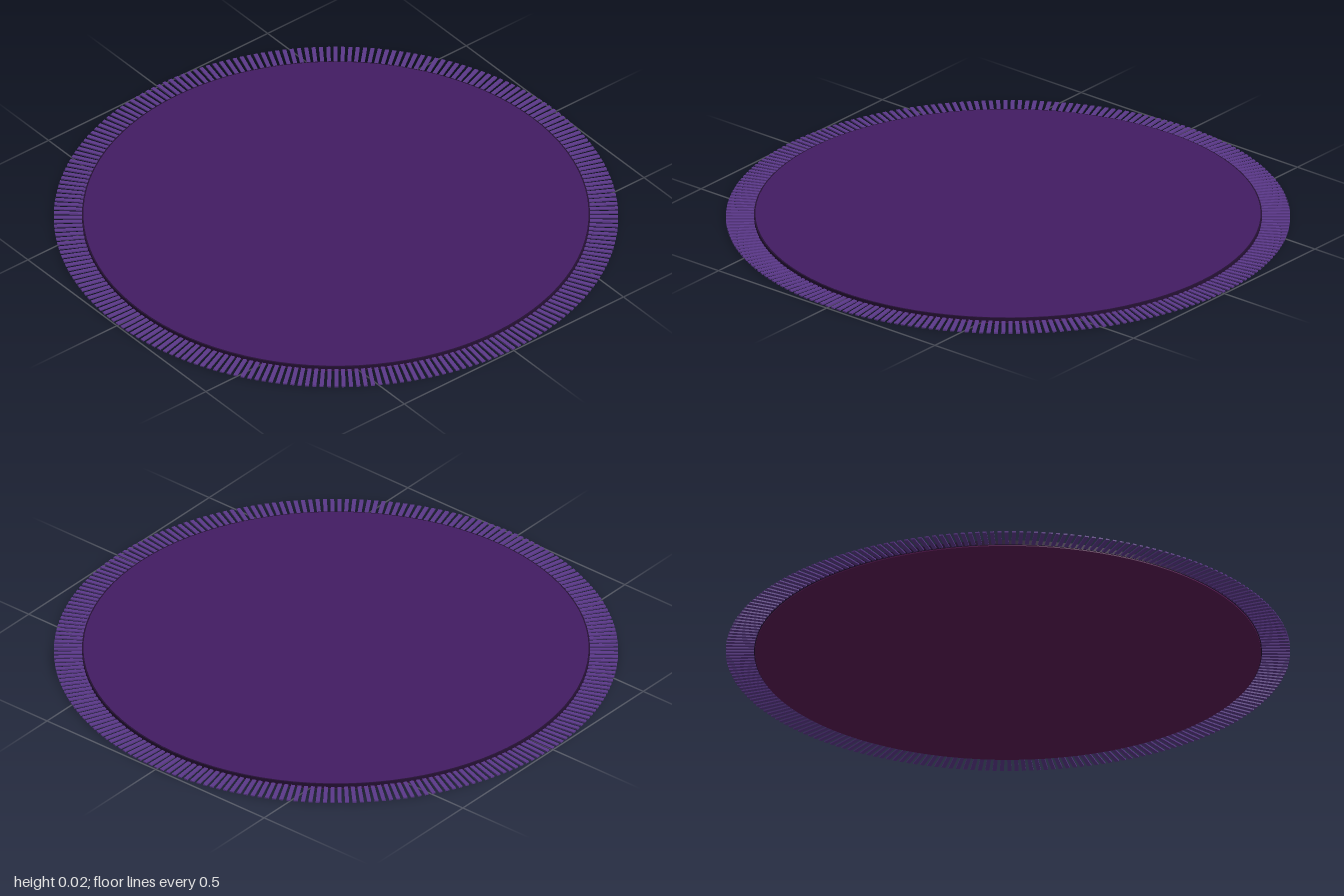
import * as THREE from 'three';

const mat = (color) => new THREE.MeshStandardMaterial({ color });

export function createModel() {
  const rug = new THREE.Group();
  rug.name = 'roundRug';

  const disc = (name, radius, y0, y1, color) => {
    const mesh = new THREE.Mesh(new THREE.CylinderGeometry(radius, radius, y1 - y0, 96), mat(color));
    mesh.position.y = (y0 + y1) / 2;
    mesh.name = name;
    rug.add(mesh);
  };

  // Backing, dark bound edge and woven top
  disc('backing', 0.897, 0, 0.006, 0x55184f);
  disc('boundEdge', 0.9, 0.004, 0.021, 0x241033);
  disc('pile', 0.895, 0.015, 0.022, 0x421b62);

  // Fringe: thin flat strands radiating from the edge
  const count = 240;
  const strand = new THREE.BoxGeometry(0.12, 0.005, 0.014).translate(0.94, 0.0075, 0);
  const fringe = new THREE.Group();
  fringe.name = 'fringe';
  const fringeMat = mat(0x5a3788);
  for (let i = 0; i < count; i++) {
    const mesh = new THREE.Mesh(strand, fringeMat);
    mesh.rotation.y = (i / count) * Math.PI * 2;
    mesh.name = 'fringeStrand';
    fringe.add(mesh);
  }
  rug.add(fringe);
  return rug;
}
